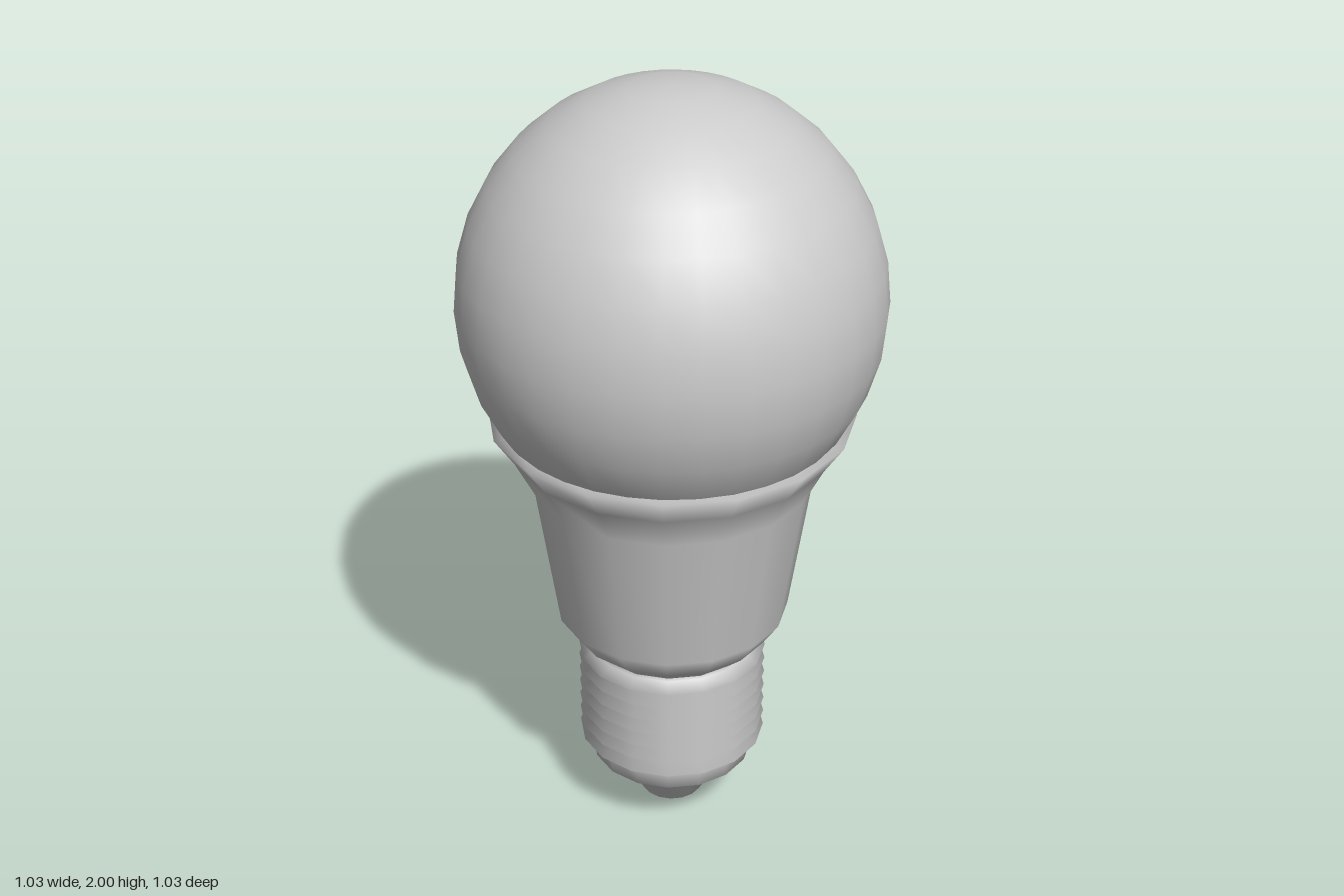
import * as THREE from 'three';

const material = new THREE.MeshStandardMaterial({ color: 0xcccccc, side: THREE.DoubleSide });

// Smooth turned part from [radius, height] pairs, listed bottom to top
function turned(name, profile, sides) {
  const points = profile.map(([r, y]) => new THREE.Vector2(r, y));
  const mesh = new THREE.Mesh(new THREE.LatheGeometry(points, sides), material);
  mesh.name = name;
  return mesh;
}

export function createModel() {
  const group = new THREE.Group();
  group.name = 'lightBulb';

  // Glass globe, open below where it sits in the housing
  const globe = new THREE.Mesh(
    new THREE.SphereGeometry(0.516, 32, 12, 0, Math.PI * 2, 0, Math.PI * 0.75), material);
  globe.name = 'globe';
  globe.scale.y = 0.534 / 0.516;
  globe.position.y = 1.466;
  group.add(globe);

  // Flared housing with an inward lip at the rim
  group.add(turned('housing', [
    [0.20, 0.49], [0.21, 0.51], [0.255, 0.55], [0.295, 0.61],
    [0.352, 0.99], [0.40, 1.085], [0.45, 1.16], [0.39, 1.155],
  ], 16));

  // Screw thread: evenly spaced ridges
  const ridges = 7, bottom = 0.205, top = 0.5;
  const pitch = (top - bottom) / ridges;
  const thread = [[0.208, bottom]];
  for (let i = 0; i < ridges; i++) {
    const y = bottom + i * pitch;
    thread.push([0.24, y + pitch / 2], [0.21, y + pitch]);
  }
  thread.push([0.21, 0.52]);
  group.add(turned('screwThread', thread, 16));

  // Tapered end of the screw base with the rounded contact
  group.add(turned('baseContact', [
    [0, 0], [0.045, 0.008], [0.08, 0.028], [0.125, 0.105],
    [0.16, 0.13], [0.208, 0.165], [0.208, 0.21],
  ], 16));

  return group;
}
